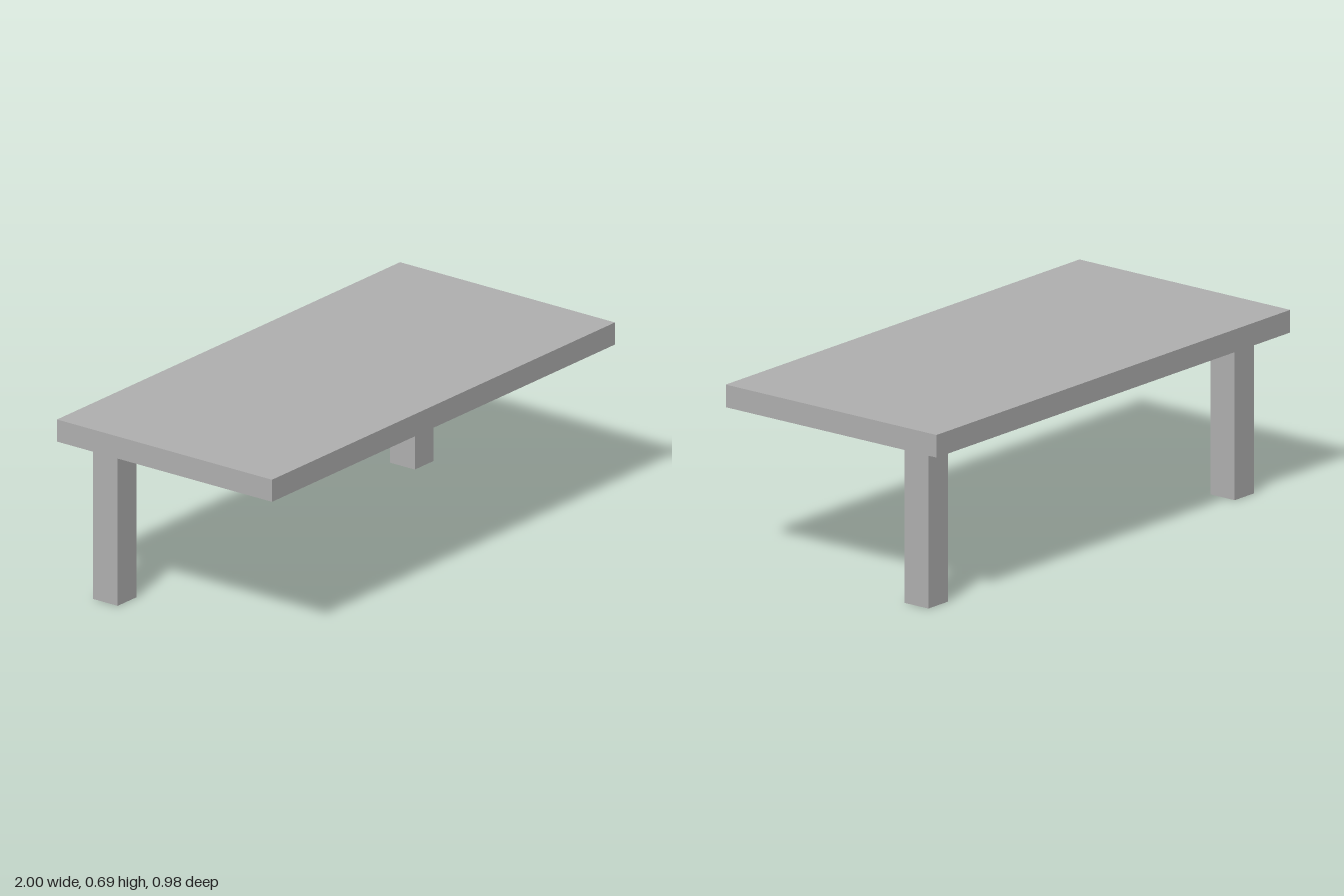
import * as THREE from 'three';

export function createModel() {
  const model = new THREE.Group();
  model.name = 'table';

  const grey = new THREE.MeshStandardMaterial({ color: 0xb0b0b0 });
  grey.name = 'plain grey';

  const topHeight = 0.69, topThickness = 0.085;
  const legHeight = topHeight - topThickness;

  function addBox(name, width, height, depth, x, y, z) {
    const mesh = new THREE.Mesh(new THREE.BoxGeometry(width, height, depth), grey);
    mesh.name = name;
    mesh.position.set(x, y, z);
    model.add(mesh);
  }

  // Slab top
  addBox('tableTop', 2, topThickness, 0.98, 0, topHeight - topThickness / 2, 0);

  // Pair of square legs set towards the back
  for (const [name, side] of [['leftLeg', 1], ['rightLeg', -1]]) {
    addBox(name, 0.11, legHeight, 0.112, side * 0.866, legHeight / 2, -0.331);
  }

  return model;
}
